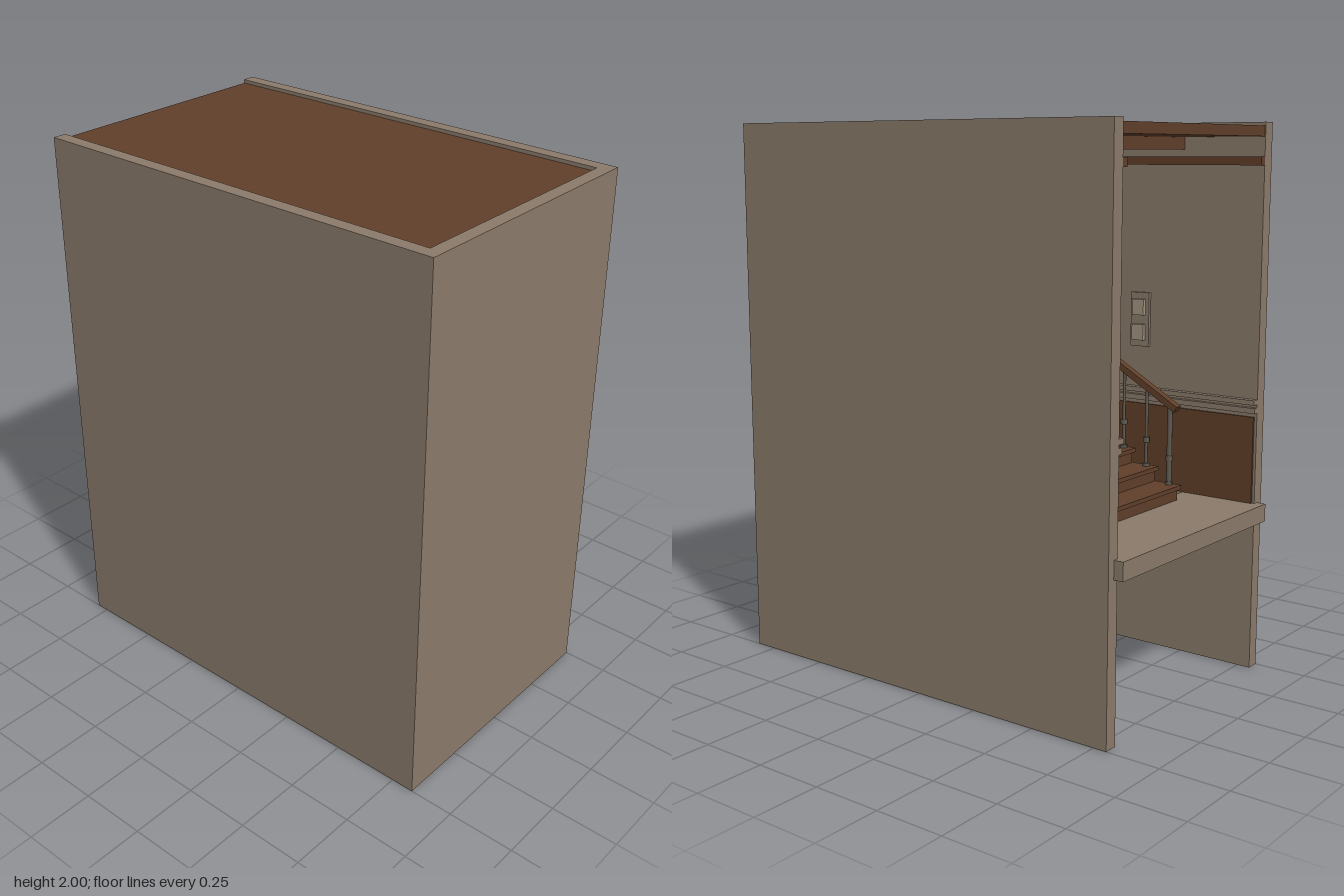
import * as THREE from 'three';

export function createModel() {
  const root = new THREE.Group();
  const mat = (name, color) => {
    const m = new THREE.MeshStandardMaterial({ color });
    m.name = name;
    return m;
  };
  const plaster = mat('plaster', 0x8b7b6a);
  const wood = mat('wood', 0x613f2a);
  const metal = mat('metal', 0x5f5a50);
  const lamp = mat('lamp', 0xa39582);

  // box given by its min and max on each axis
  const box = (name, m, x0, x1, y0, y1, z0, z1, parent = root) => {
    const mesh = new THREE.Mesh(new THREE.BoxGeometry(x1 - x0, y1 - y0, z1 - z0), m);
    mesh.position.set((x0 + x1) / 2, (y0 + y1) / 2, (z0 + z1) / 2);
    mesh.name = name;
    parent.add(mesh);
    return mesh;
  };
  const post = (name, m, r, x, y0, y1, z, parent) => {
    const mesh = new THREE.Mesh(new THREE.CylinderGeometry(r, r, y1 - y0, 8), m);
    mesh.position.set(x, (y0 + y1) / 2, z);
    mesh.name = name;
    parent.add(mesh);
  };

  // shell: two long walls, closed front, open back
  for (const s of [-1, 1]) {
    box('sideWall', plaster, Math.min(s * 0.45, s * 0.5), Math.max(s * 0.45, s * 0.5), 0, 2, -0.8, 0.835);
  }
  box('frontWall', plaster, -0.45, 0.45, 0, 2, 0.785, 0.835);
  box('ceiling', wood, -0.45, 0.45, 1.95, 1.987, -0.797, 0.78);
  for (let i = 0; i < 4; i++) {
    const z = -0.45 + i * 0.34;
    box('ceilingBeam', wood, -0.45, 0.45, 1.905, 1.95, z - 0.025, z + 0.025);
  }

  // landings
  box('backLanding', plaster, -0.47, 0.47, 0.565, 0.63, -0.835, -0.5);
  box('lowerFloor', wood, -0.45, 0.45, 0.025, 0.05, 0.5, 0.785);
  box('upperLanding', wood, -0.45, 0.45, 1.17, 1.2, 0.45, 0.785);

  // wall trim, mirrored
  for (const s of [-1, 1]) {
    const side = (name, m, depth, y0, y1, z0, z1) => {
      const a = s * 0.45, b = s * (0.45 - depth);
      return box(name, m, Math.min(a, b), Math.max(a, b), y0, y1, z0, z1);
    };
    side('wainscot', wood, 0.008, 0.63, 0.95, -0.79, 0.785);
    side('chairRail', plaster, 0.018, 0.965, 0.985, -0.8, 0.785);
    side('chairRailCap', plaster, 0.026, 0.997, 1.015, -0.8, 0.785);
    side('crownRail', wood, 0.025, 1.85, 1.88, -0.8, 0.785);
    // wall lamp: back plate with two small shades
    side('lampPlate', plaster, 0.012, 1.17, 1.375, -0.34, -0.26);
    side('lampShade', lamp, 0.028, 1.195, 1.255, -0.325, -0.275);
    side('lampShade', lamp, 0.028, 1.29, 1.35, -0.325, -0.275);
  }

  const HALF = 0.33, RUN = 0.1, RISE = 0.057;

  // flight of open-backed steps; dir = +1 climbs towards +z, -1 towards -z
  function flight(name, z0, y0, dir, count) {
    const g = new THREE.Group();
    g.name = name;
    for (let i = 0; i < count; i++) {
      const top = y0 + (i + 1) * RISE;
      const za = z0 + dir * i * RUN;
      const nose = za - dir * 0.012, back = za + dir * (RUN + 0.008);
      box('tread', wood, -HALF, HALF, top - 0.016, top, Math.min(nose, back), Math.max(nose, back), g);
      const rb = za + dir * 0.012;
      box('riser', wood, -HALF + 0.008, HALF - 0.008, top - RISE, top - 0.016,
        Math.min(za, rb), Math.max(za, rb), g);
    }
    root.add(g);
  }

  // sloped handrail with a baluster on every step
  function railing(name, x, z0, y0, dir, count) {
    const g = new THREE.Group();
    g.name = name;
    const H = 0.3;
    for (let i = 0; i < count; i++) {
      const y = y0 + (i + 1) * RISE, z = z0 + dir * (i + 0.3) * RUN;
      post('baluster', metal, i ? 0.006 : 0.01, x, y, y + H, z, g);
      post('balusterCollar', metal, 0.013, x, y + 0.09, y + 0.11, z, g);
      post('balusterFoot', metal, 0.014, x, y, y + 0.012, z, g);
    }
    const dz = count * RUN, dy = count * RISE;
    const bar = new THREE.Mesh(new THREE.BoxGeometry(0.03, 0.024, Math.hypot(dz, dy)), wood);
    bar.position.set(x, y0 + RISE + H + dy / 2 - 0.015, z0 + dir * dz / 2);
    bar.rotation.x = -dir * Math.atan2(dy, dz);
    bar.name = 'handrail';
    g.add(bar);
    root.add(g);
  }

  flight('upperFlight', -0.55, 0.63, 1, 10);
  flight('lowerFlight', 0.5, 0.04, -1, 10);
  for (const s of [-1, 1]) {
    railing('upperRailing', s * 0.31, -0.55, 0.63, 1, 10);
    railing('lowerRailing', s * 0.31, 0.5, 0.04, -1, 5);
  }
  return root;
}
